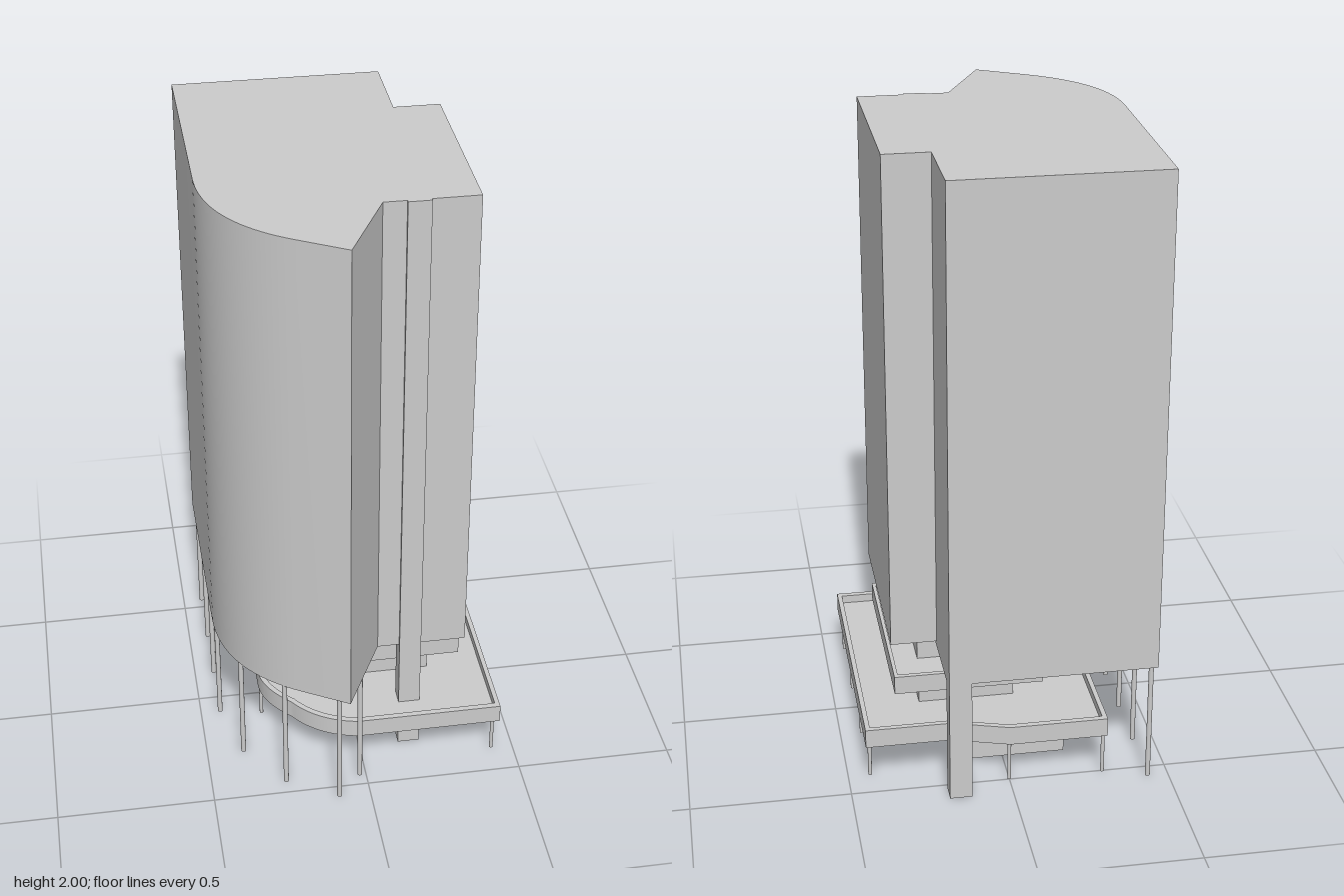
import * as THREE from 'three';
import { toCreasedNormals } from 'three/addons/utils/BufferGeometryUtils.js';

const material = new THREE.MeshStandardMaterial({ color: 0xcccccc });

// Plan outlines are lists of [x, z]; a four-number entry is a curve [controlX, controlZ, x, z].
const towerPlan = [
  [-0.45, -0.575], [0.2, -0.575], [0.2, -0.305], [0.345, -0.305], [0.345, 0.31],
  [0.06, 0.31], [-0.07, 0.572], [-0.21, 0.49], [-0.45, 0.35, -0.45, 0.08],
];
const canopyPlan = [
  [-0.31, -0.515], [0, -0.515], [0.18, -0.46], [0.447, -0.46], [0.447, 0.423],
  [-0.02, 0.423], [-0.15, 0.4, -0.22, 0.295], [-0.31, 0.21, -0.31, 0.12],
];
const terracePlan = [[-0.125, -0.39], [0.345, -0.39], [0.345, 0.225], [-0.125, 0.225]];
const groundPlan = [
  [-0.2, -0.365], [0.1, -0.365], [0.1, -0.155], [0.33, -0.155],
  [0.33, 0.25], [-0.04, 0.25], [-0.04, 0.13], [-0.2, 0.13],
];

function trace(path, plan) {
  plan.forEach((p, i) => {
    if (i === 0) path.moveTo(...p);
    else if (p.length === 4) path.quadraticCurveTo(...p);
    else path.lineTo(...p);
  });
  path.closePath();
  return path;
}

// The same plan shrunk towards its middle, for the inside of a rim
function inset(plan, f) {
  const xs = plan.map((p) => p[p.length - 2]);
  const zs = plan.map((p) => p[p.length - 1]);
  const cx = (Math.min(...xs) + Math.max(...xs)) / 2;
  const cz = (Math.min(...zs) + Math.max(...zs)) / 2;
  return plan.map((p) => p.map((v, i) => (i % 2 ? cz + (v - cz) * f : cx + (v - cx) * f)));
}

// Upright prism over a plan, between two heights, optionally with a hole
function prism(name, plan, y0, y1, holePlan) {
  const shape = trace(new THREE.Shape(), plan);
  if (holePlan) shape.holes.push(trace(new THREE.Path(), holePlan));
  const geo = new THREE.ExtrudeGeometry(shape, { depth: y1 - y0, bevelEnabled: false, curveSegments: 20 });
  geo.rotateX(Math.PI / 2).translate(0, y1, 0);
  const mesh = new THREE.Mesh(toCreasedNormals(geo, 0.4), material);
  mesh.name = name;
  return mesh;
}

function block(name, x0, x1, y0, y1, z0, z1) {
  const mesh = new THREE.Mesh(new THREE.BoxGeometry(x1 - x0, y1 - y0, z1 - z0), material);
  mesh.position.set((x0 + x1) / 2, (y0 + y1) / 2, (z0 + z1) / 2);
  mesh.name = name;
  return mesh;
}

// Floor slab with a raised parapet
function tray(name, plan, y0, y1, f) {
  const group = new THREE.Group();
  group.name = name;
  group.add(
    prism(name + 'Floor', inset(plan, f), y0, y0 + 0.035),
    prism(name + 'Parapet', plan, y0, y1, inset(plan, f)),
  );
  return group;
}

function columns(name, spots, height, radius) {
  const group = new THREE.Group();
  group.name = name;
  const geo = new THREE.CylinderGeometry(radius, radius, height, 12);
  for (const [x, z] of spots) {
    const column = new THREE.Mesh(geo, material);
    column.position.set(x, height / 2, z);
    column.name = 'column';
    group.add(column);
  }
  return group;
}

export function createModel() {
  const model = new THREE.Group();
  model.name = 'towerBuilding';

  // Tower shaft with a shallow recessed underside
  model.add(
    prism('towerShaft', towerPlan, 0.425, 2),
    prism('towerBottomRim', towerPlan, 0.408, 0.425, inset(towerPlan, 0.96)),
  );

  // Square piers and the beam between them
  model.add(
    block('frontPier', 0.13, 0.2, 0, 2, 0.26, 0.319),
    block('backPier', 0.13, 0.2, 0, 0.43, -0.575, -0.515),
    block('pierBeam', 0.13, 0.2, 0.39, 0.43, -0.515, 0.26),
  );

  // Stepped base: ground floor, canopy, middle floor, terrace, neck
  model.add(
    prism('groundFloor', groundPlan, 0, 0.14),
    tray('canopy', canopyPlan, 0.138, 0.2, 0.96),
    block('middleFloor', -0.05, 0.255, 0.17, 0.285, -0.275, 0.155),
    tray('terrace', terracePlan, 0.28, 0.34, 0.95),
    block('neck', -0.05, 0.255, 0.31, 0.43, -0.245, 0.115),
  );

  // Door panels
  model.add(
    block('frontDoor', -0.035, 0.115, 0, 0.115, 0.25, 0.254),
    block('frontWindow', 0.215, 0.325, 0, 0.115, 0.25, 0.254),
    block('sideWindow', 0.33, 0.333, 0, 0.115, -0.055, 0.25),
  );

  // Tall columns under the tower, following its edge
  model.add(columns('towerColumns', [
    [-0.435, -0.545], [-0.435, -0.335], [-0.435, -0.135], [-0.435, 0.07],
    [-0.38, 0.28], [-0.26, 0.445], [-0.1, 0.54], [-0.02, 0.452],
  ], 0.43, 0.008));

  // Short columns under the canopy
  model.add(columns('canopyColumns', [
    [0.43, 0.39], [0.43, 0.125], [0.43, -0.155], [0.43, -0.4],
    [-0.298, -0.5], [-0.298, -0.2], [-0.298, 0.1], [0, -0.495],
  ], 0.14, 0.006));

  return model;
}
